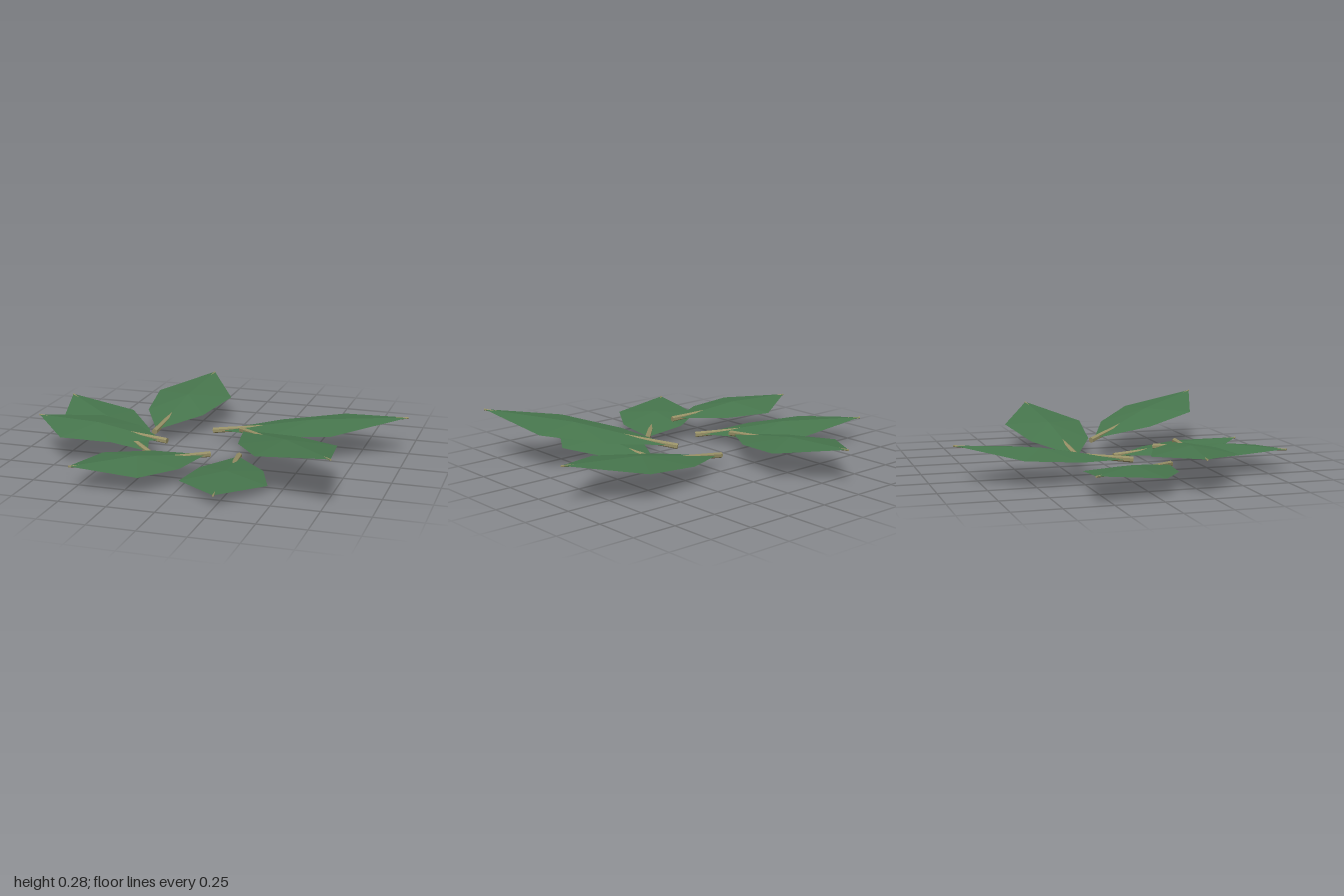
import * as THREE from 'three';

const green = new THREE.MeshStandardMaterial({ color: 0x47764d, flatShading: true, side: THREE.DoubleSide });
green.name = 'leafGreen';
const tan = new THREE.MeshStandardMaterial({ color: 0x968f65, flatShading: true });
tan.name = 'stemTan';

// Each leaf: stem end and tip
const LEAVES = [
  [[-0.35, 0.09, 0.05], [-0.30, 0.20, -0.88]],
  [[-0.08, 0.06, -0.165], [1.0, 0.22, -0.20]],
  [[0.12, 0.12, -0.04], [0.80, 0.28, 0.785]],
  [[0.15, 0.02, 0.10], [0.25, 0.07, 0.87]],
  [[0.05, 0.08, 0.30], [-0.51, 0.13, 0.845]],
  [[-0.17, 0.145, 0.345], [-0.95, 0.185, 0.23]],
  [[-0.29, 0.045, 0.28], [-1.0, 0.145, -0.34]],
];

// Faceted blade along +z: raised midrib with slightly drooping edges
function bladeGeometry(len) {
  const base = [0, 0, 0.03 * len];
  const rib = [0, 0.026, 0.53 * len];
  const tip = [0, 0.002, len];
  const points = [];
  for (const side of [1, -1]) {
    const edge = [base, [side * 0.167, -0.008, 0.325 * len], [side * 0.225, -0.014, 0.65 * len], tip];
    for (let i = 0; i < 3; i++) {
      const pair = side > 0 ? [edge[i + 1], edge[i]] : [edge[i], edge[i + 1]];
      points.push(...rib, ...pair[0], ...pair[1]);
    }
  }
  const geo = new THREE.BufferGeometry();
  geo.setAttribute('position', new THREE.Float32BufferAttribute(points, 3));
  geo.computeVertexNormals();
  return geo;
}

// Straight tapering stem along +z
function stemGeometry(len) {
  return new THREE.CylinderGeometry(0.005, 0.016, len, 6)
    .rotateX(Math.PI / 2)
    .translate(0, 0, len / 2);
}

function makeLeaf(from, to) {
  const a = new THREE.Vector3(...from);
  const b = new THREE.Vector3(...to);
  const len = a.distanceTo(b);
  const leaf = new THREE.Group();
  const blade = new THREE.Mesh(bladeGeometry(len), green);
  blade.name = 'leafBlade';
  const stem = new THREE.Mesh(stemGeometry(len), tan);
  stem.name = 'leafStem';
  leaf.add(blade, stem);
  leaf.position.copy(a);
  leaf.lookAt(b);
  return leaf;
}

export function createModel() {
  const model = new THREE.Group();
  model.name = 'scatteredLeaves';
  LEAVES.forEach(([from, to], i) => {
    const leaf = makeLeaf(from, to);
    leaf.name = `leaf${i + 1}`;
    model.add(leaf);
  });
  return model;
}
